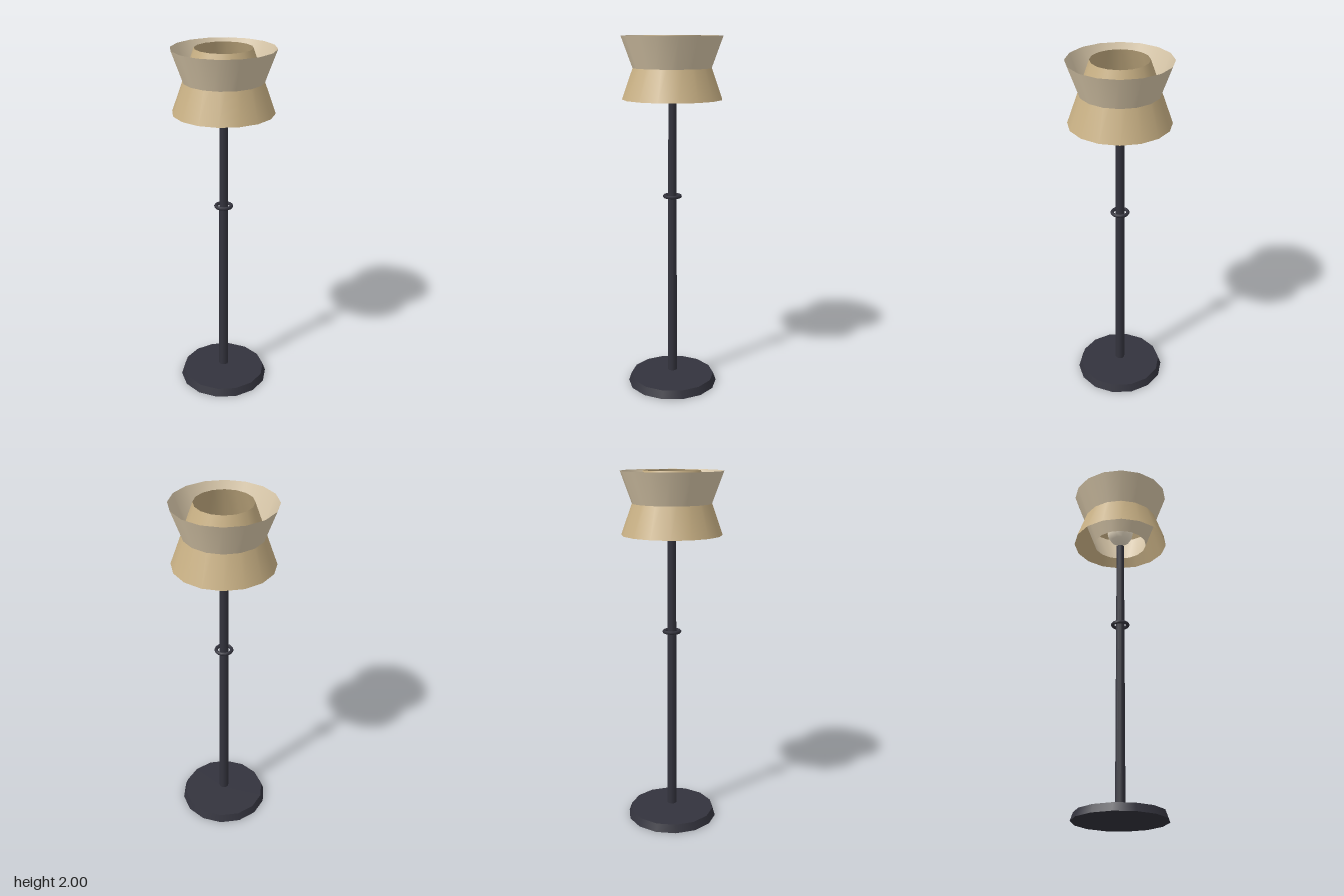
import * as THREE from 'three';

const dark = new THREE.MeshStandardMaterial({ color: 0x33333d });
const shadeMaterial = (color) => new THREE.MeshStandardMaterial({ color, side: THREE.DoubleSide });

export function createModel() {
  const lamp = new THREE.Group();
  lamp.name = 'floorLamp';

  const add = (name, geometry, material, y) => {
    const mesh = new THREE.Mesh(geometry, material);
    mesh.name = name;
    mesh.position.y = y;
    lamp.add(mesh);
    return mesh;
  };

  // Weighted foot with a sloped rim
  add('base', new THREE.CylinderGeometry(0.242, 0.258, 0.045, 14), dark, 0.0225);

  // Slightly tapered pole, standing clear of the foot
  add('pole', new THREE.CylinderGeometry(0.023, 0.028, 1.575, 10), dark, 0.8575);

  // Collar ring around the pole
  const collar = add('collarRing', new THREE.TorusGeometry(0.044, 0.01, 6, 14), dark, 1.12);
  collar.rotation.x = Math.PI / 2;

  // Bulb inside the shades
  const bulbMaterial = new THREE.MeshStandardMaterial({ color: 0xf5e8d0 });
  add('bulb', new THREE.SphereGeometry(0.077, 10, 8), bulbMaterial, 1.74);

  // Two open cones that cross at the waist: one flares down, one flares up
  const cone = (top, bottom) => new THREE.CylinderGeometry(top, bottom, 0.34, 16, 1, true);
  add('lowerShade', cone(0.154, 0.275), shadeMaterial(0xc8b084), 1.83);
  add('upperShade', cone(0.278, 0.154), shadeMaterial(0xd9c8aa), 1.828);

  return lamp;
}
